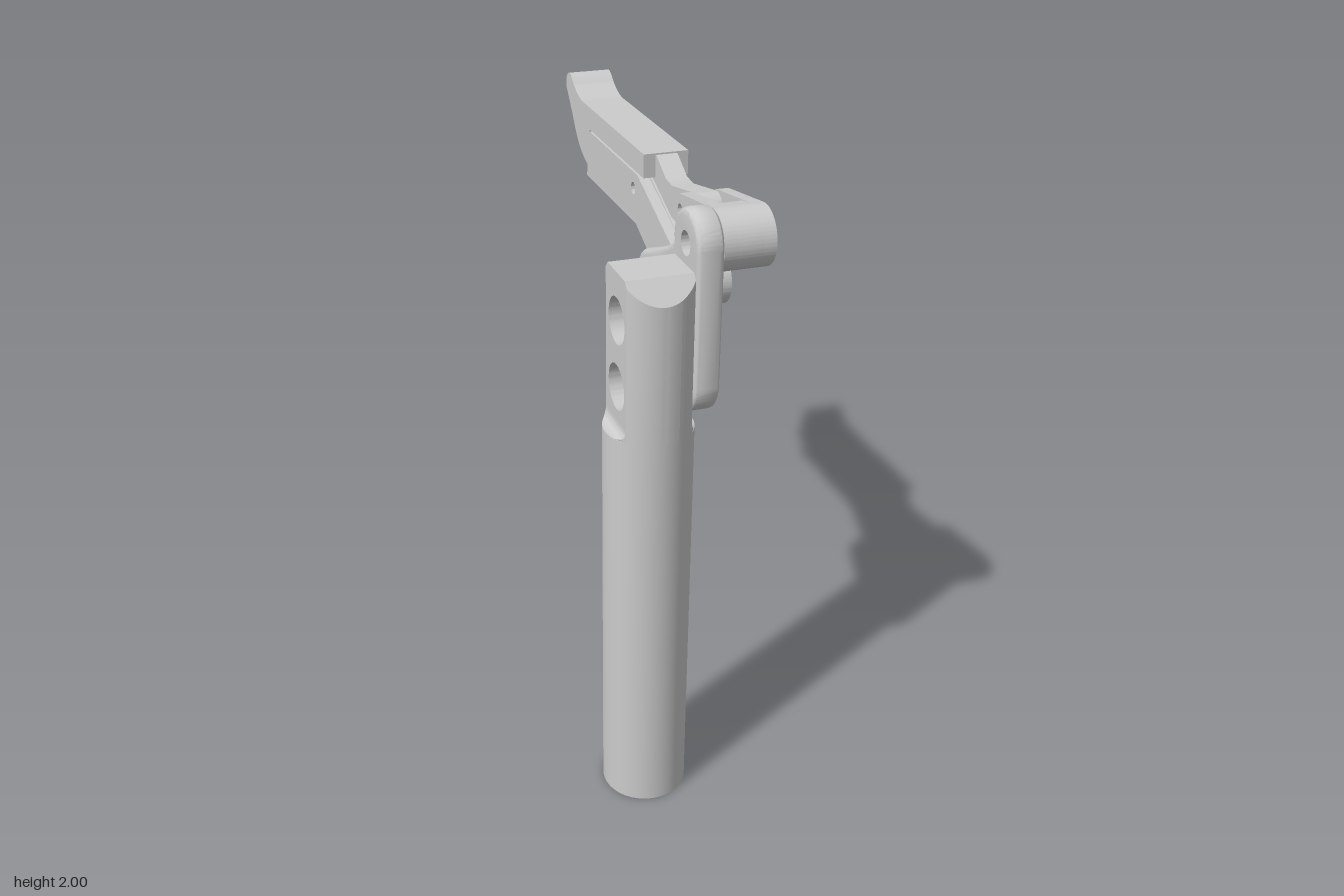
import * as THREE from 'three';
import { toCreasedNormals } from 'three/addons/utils/BufferGeometryUtils.js';

const material = new THREE.MeshStandardMaterial({ color: 0xcccccc });
const TUBE = { x: -0.1, z: 0.65, r: 0.135, bore: 0.11 };
const PI = Math.PI, deg = PI / 180;

function mesh(name, geometry, crease = 0.6) {
  const m = new THREE.Mesh(toCreasedNormals(geometry, crease), material);
  m.name = name;
  return m;
}

// Applies rule(v) to every vertex.
function reshape(geometry, rule) {
  const p = geometry.attributes.position, v = new THREE.Vector3();
  for (let i = 0; i < p.count; i++) {
    v.fromBufferAttribute(p, i);
    rule(v);
    p.setXYZ(i, v.x, v.y, v.z);
  }
  return geometry;
}

// Adds round holes [u, y, radius] to a side profile.
function drill(shape, holes) {
  for (const [u, y, r] of holes) shape.holes.push(new THREE.Path().absarc(u, y, r, 0, 2 * PI, true));
  return shape;
}

// Side profile (u = -z, y) extruded from x0 to x1.
function slab(shape, x0, x1, options = {}) {
  const g = new THREE.ExtrudeGeometry(shape, { depth: x1 - x0, bevelEnabled: false, curveSegments: 28, ...options });
  return g.rotateY(PI / 2).translate(x0, 0, 0);
}

const polygon = pts => new THREE.Shape(pts.map(([u, y]) => new THREE.Vector2(u, y)));

// Outline around two circles joined by their tangents.
function taperedLink(a, ra, b, rb) {
  const phi = Math.acos((ra - rb) / (b[0] - a[0]));
  return new THREE.Shape()
    .absarc(a[0], a[1], ra, phi, 2 * PI - phi, false)
    .absarc(b[0], b[1], rb, -phi, phi, false);
}

function createPost() {
  const post = new THREE.Group();
  post.name = 'post';
  post.position.set(TUBE.x, 0, TUBE.z);
  const { r, bore } = TUBE;
  const onCircle = v => { v.z = Math.sign(v.z) * Math.sqrt(Math.max(0, r * r - v.x * v.x)); };

  // Hollow round tube
  const profile = [[0, 1.28], [bore, 1.28], [bore, 0], [r, 0], [r, 1.32], [0, 1.32]];
  post.add(mesh('tube', new THREE.LatheGeometry(profile.map(([x, y]) => new THREE.Vector2(x, y)), 64)));

  // Flattened head: wide counterbores on one face, bolt holes on the other
  for (const [x0, x1, hole, steps] of [[-0.1, 0.05, 0.07, 14], [0.05, 0.1, 0.036, 6]]) {
    const outline = polygon([[-0.09, 1.32], [0.09, 1.32], [0.09, 1.79], [0.075, 1.81], [-0.075, 1.81], [-0.09, 1.79]]);
    drill(outline, [[-0.005, 1.46, hole], [-0.005, 1.665, hole]]);
    const g = reshape(slab(outline, x0, x1, { steps }), v => {
      if (Math.abs(v.z) < 0.089) return;
      onCircle(v);
      if (v.y > 1.5) v.y = 1.81 - (Math.abs(v.z) - 0.075) * 1.1;
    });
    post.add(mesh('flattenedHead', g));
  }

  // Concave fillets where the flats meet the round tube
  for (const turn of [0, PI]) {
    const s = new THREE.Shape();
    s.moveTo(0.1, 1.32);
    s.lineTo(r, 1.32);
    s.quadraticCurveTo(0.1, 1.32, 0.1, 1.357);
    const g = new THREE.ExtrudeGeometry(s, { depth: 0.2, bevelEnabled: false, curveSegments: 10 }).translate(0, 0, -0.1);
    const fillet = mesh('headFillet', reshape(g, onCircle));
    fillet.rotation.y = turn;
    post.add(fillet);
  }
  return post;
}

// Three-lobed mounting plate with rounded rim and straight-walled holes
function createPlate() {
  const s = new THREE.Shape();
  s.absarc(-0.655, 1.46, 0.1, PI, 310 * deg, false);
  s.absarc(-0.345, 1.635, 0.1, -70 * deg, 75 * deg, false);
  s.quadraticCurveTo(-0.5, 1.8, -0.558, 1.845);
  s.absarc(-0.655, 1.87, 0.1, -15 * deg, PI, false);
  const holes = [[-0.655, 1.46, 0.036], [-0.655, 1.665, 0.036], [-0.655, 1.87, 0.036], [-0.355, 1.63, 0.036]];
  const bevel = 0.018;
  const g = slab(drill(s, holes), bevel, 0.08 - bevel, {
    bevelEnabled: true, bevelSize: bevel, bevelThickness: bevel, bevelOffset: -bevel, bevelSegments: 4,
  });
  reshape(g, v => {
    for (const [u, y, r] of holes) {
      const d = Math.hypot(-v.z - u, v.y - y);
      if (d > 0.06) continue;
      v.z = -u + (v.z + u) * r / d;
      v.y = y + (v.y - y) * r / d;
    }
  });
  return mesh('mountingPlate', g);
}

// Forked link from the plate's top hole to the lever tongue
function createClevis() {
  const clevis = new THREE.Group();
  clevis.name = 'clevisLink';
  const pinA = [-0.655, 1.87], pinB = [-0.4, 1.87];
  for (const [x0, x1] of [[0.08, 0.122], [0.198, 0.235]]) {
    const s = drill(taperedLink(pinA, 0.09, pinB, 0.05), [[...pinA, 0.036], [...pinB, 0.02]]);
    clevis.add(mesh('clevisCheek', slab(s, x0, x1)));
  }
  const core = new THREE.Shape().absarc(...pinA, 0.09, 81 * deg, 279 * deg, false);
  core.lineTo(-0.58, 1.793);
  core.quadraticCurveTo(-0.54, 1.87, -0.58, 1.947);
  clevis.add(mesh('clevisCore', slab(drill(core, [[...pinA, 0.036]]), 0.122, 0.198)));
  return clevis;
}

function createLever() {
  const lever = new THREE.Group();
  lever.name = 'lever';
  const pivot = [-0.355, 1.63];

  // Arm and grip body; the middle layer leaves a pocket open underneath
  for (const [x0, x1, pocket] of [[0.083, 0.118, false], [0.118, 0.203, true], [0.203, 0.237, false]]) {
    const s = new THREE.Shape().absarc(...pivot, 0.085, 113 * deg, 293 * deg, false);
    s.lineTo(0, 1.69);
    if (pocket) {
      s.lineTo(0.1, 1.69);
      s.quadraticCurveTo(0.11, 1.79, 0.18, 1.79);
      s.lineTo(0.4, 1.79);
      s.quadraticCurveTo(0.47, 1.79, 0.48, 1.69);
    }
    s.lineTo(0.53, 1.69);
    const top = pocket ? 1.862 : 1.855;
    s.lineTo(0.498, top);
    s.lineTo(-0.01, top);
    drill(s, [[...pivot, 0.036], [0.03, 1.8, 0.02]]);
    lever.add(mesh(pocket ? 'armCore' : 'armCheek', slab(s, x0, x1)));
  }

  // Bushing at the pivot
  const ring = drill(new THREE.Shape().absarc(...pivot, 0.057, 0, 2 * PI, false), [[...pivot, 0.035]]);
  lever.add(mesh('pivotBushing', slab(ring, 0.078, 0.24)));

  // Top grip with upturned tip
  const grip = new THREE.Shape();
  grip.moveTo(-0.06, 1.86);
  grip.lineTo(0.503, 1.86);
  grip.lineTo(0.532, 1.728);
  grip.bezierCurveTo(0.67, 1.76, 0.68, 1.84, 0.782, 1.94);
  grip.quadraticCurveTo(0.79, 1.99, 0.745, 2.0);
  grip.quadraticCurveTo(0.725, 2.0, 0.69, 1.97);
  grip.quadraticCurveTo(0.63, 1.937, 0.58, 1.937);
  grip.lineTo(-0.06, 1.937);
  lever.add(mesh('grip', slab(grip, 0.086, 0.234)));

  // Tongue that sits in the clevis fork
  const tongue = new THREE.Shape().absarc(-0.4, 1.87, 0.047, 85 * deg, 240 * deg, false);
  for (const [u, y] of [[-0.3, 1.775], [-0.2, 1.78], [0, 1.8], [0, 1.93], [-0.07, 1.932], [-0.155, 1.885], [-0.21, 1.88]])
    tongue.lineTo(u, y);
  lever.add(mesh('tongue', slab(drill(tongue, [[-0.4, 1.87, 0.02]]), 0.125, 0.195)));
  return lever;
}

export function createModel() {
  const model = new THREE.Group();
  model.name = 'leverClampOnPost';
  model.add(createPost(), createPlate(), createClevis(), createLever());
  return model;
}
